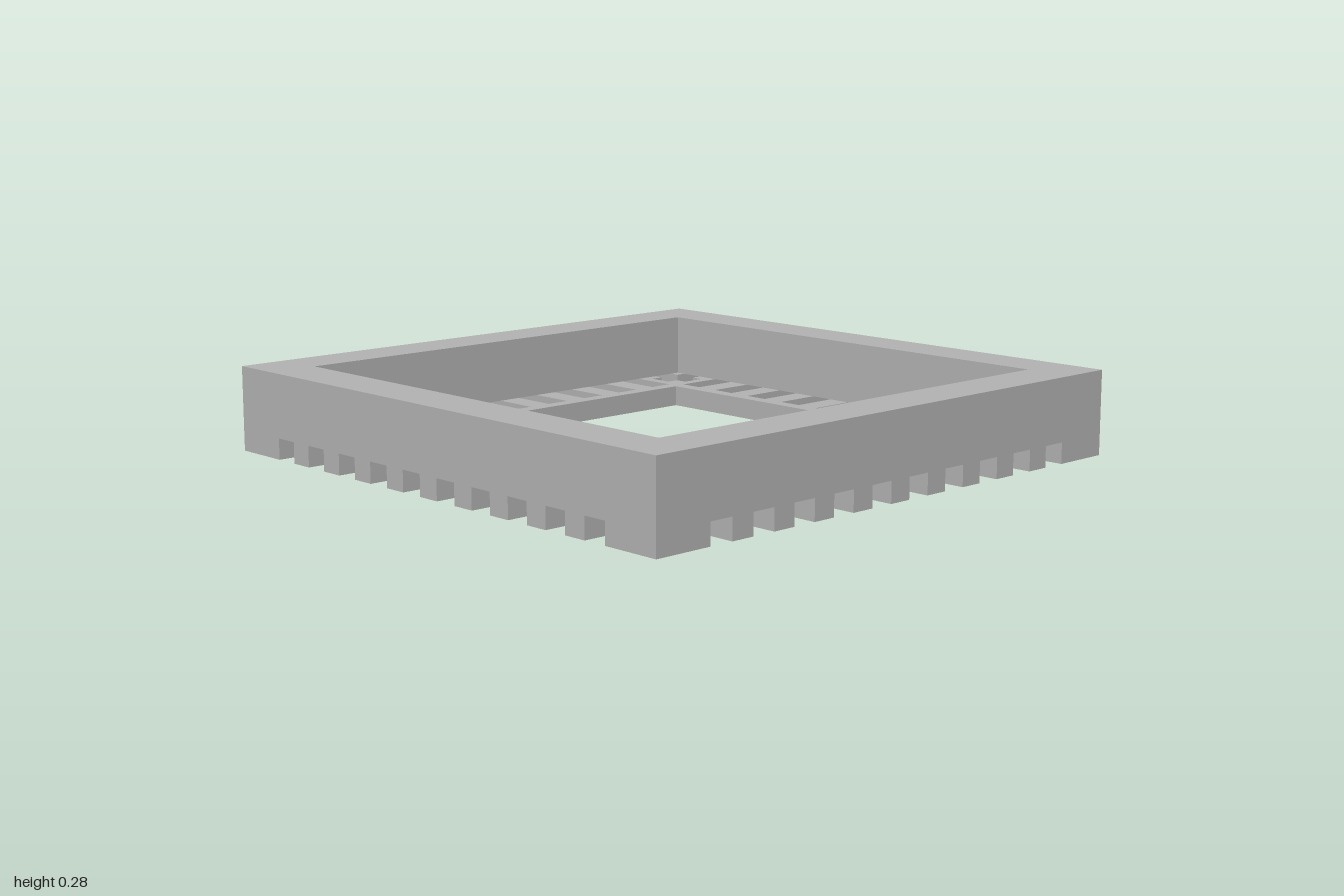
import * as THREE from 'three';

const HEIGHT = 0.285, LEDGE = 0.071;      // total height, height of the slotted base
const WALL = 0.83, OPENING = 0.617;       // half widths of the wall inside and the centre opening
const SLOT_END = 0.665, PITCH = 0.1672, HALF_SLOT = 0.0425;
const SLOT_OUT = PITCH * 4.5 + HALF_SLOT, SLOT_IN = PITCH * 4.5 - HALF_SLOT;

const square = (h, Type = THREE.Shape) =>
  new Type([[-h, -h], [h, -h], [h, h], [-h, h]].map(([x, y]) => new THREE.Vector2(x, y)));

// Stand a plan shape up as a slab from y0 to y1
function slab(shape, y0, y1) {
  const g = new THREE.ExtrudeGeometry(shape, { depth: y1 - y0, bevelEnabled: false });
  g.rotateX(-Math.PI / 2);
  g.translate(0, y0, 0);
  return g;
}

// Outline of one toothed side: pairs of position along the side and distance out
function sideProfile() {
  const start = [[-SLOT_IN, SLOT_IN], [-SLOT_END, SLOT_IN], [-SLOT_END, SLOT_OUT], [-SLOT_IN, SLOT_OUT], [-SLOT_IN, 1]];
  const teeth = [];
  for (let i = 1; i < 9; i++) {
    const c = (i - 4.5) * PITCH;
    teeth.push([c - HALF_SLOT, 1], [c - HALF_SLOT, SLOT_END], [c + HALF_SLOT, SLOT_END], [c + HALF_SLOT, 1]);
  }
  const end = start.slice(1).reverse().map(([t, r]) => [-t, r]);
  return [...start, ...teeth, ...end];
}

export function createModel() {
  const model = new THREE.Group();
  model.name = 'slottedFrame';
  const grey = new THREE.MeshStandardMaterial({ color: 0xb3b3b3 });
  grey.name = 'light grey';
  const add = (name, geometry) => {
    const mesh = new THREE.Mesh(geometry, grey);
    mesh.name = name;
    model.add(mesh);
    return mesh;
  };

  // Solid upper wall
  const wall = square(1);
  wall.holes.push(square(WALL, THREE.Path));
  add('wall', slab(wall, LEDGE, HEIGHT));

  // Toothed ledge: the same side profile turned four times around the opening
  const profile = sideProfile(), outline = [];
  for (let k = 0; k < 4; k++) {
    for (const [t, r] of profile) {
      outline.push(new THREE.Vector2(t, r).rotateAround(new THREE.Vector2(), -k * Math.PI / 2));
    }
  }
  const ledge = new THREE.Shape(outline);
  ledge.holes.push(square(OPENING, THREE.Path));
  add('toothedLedge', slab(ledge, 0, LEDGE));

  // Corner feet cut free by the crossing end slots
  const size = 1 - SLOT_OUT, mid = (1 + SLOT_OUT) / 2;
  for (const x of [-mid, mid]) {
    for (const z of [-mid, mid]) {
      add('cornerFoot', new THREE.BoxGeometry(size, LEDGE, size)).position.set(x, LEDGE / 2, z);
    }
  }
  return model;
}
